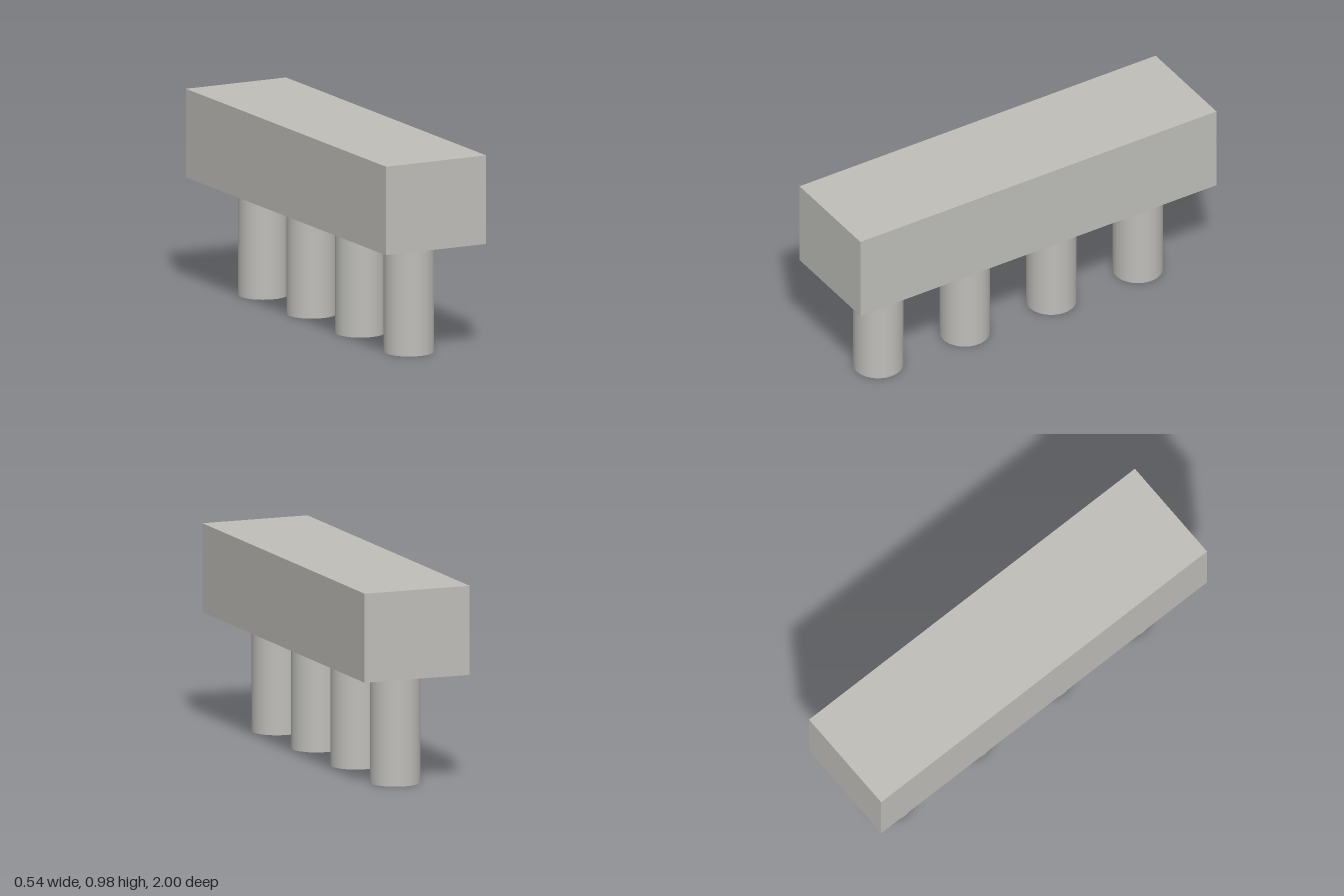
import * as THREE from 'three';

export function createModel() {
  const model = new THREE.Group();
  const concrete = new THREE.MeshStandardMaterial({ color: 0xbfbeb9 });
  concrete.name = 'concrete grey';

  const legHeight = 0.545, beamHeight = 0.43;

  // Long beam resting on the piles
  const beam = new THREE.Mesh(new THREE.BoxGeometry(0.54, beamHeight, 2), concrete);
  beam.name = 'beam';
  beam.position.y = legHeight + beamHeight / 2;
  model.add(beam);

  // Row of four evenly spaced round piles
  const pileGeometry = new THREE.CylinderGeometry(0.12, 0.12, legHeight, 48);
  for (let i = 0; i < 4; i++) {
    const pile = new THREE.Mesh(pileGeometry, concrete);
    pile.name = `pile${i + 1}`;
    pile.position.set(0, legHeight / 2, (1.5 - i) * 0.486);
    model.add(pile);
  }
  return model;
}
